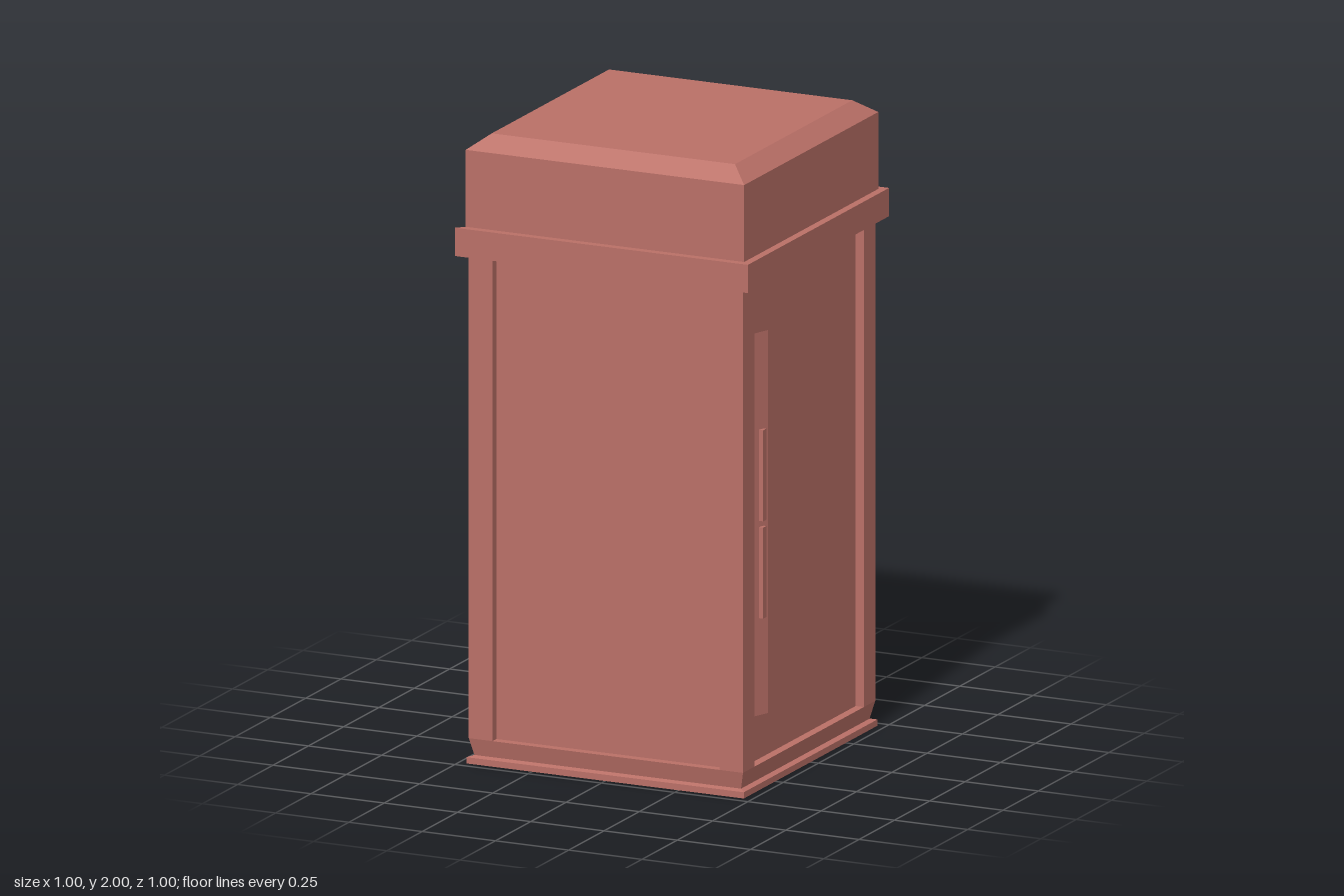
import * as THREE from 'three';

const material = new THREE.MeshStandardMaterial({ color: 0xba7067, flatShading: true, side: THREE.DoubleSide });

function add(parent, name, geometry, x = 0, y = 0, z = 0) {
  const mesh = new THREE.Mesh(geometry, material);
  mesh.name = name;
  mesh.position.set(x, y, z);
  parent.add(mesh);
  return mesh;
}

function surface(pos) {
  const g = new THREE.BufferGeometry();
  g.setAttribute('position', new THREE.Float32BufferAttribute(pos, 3));
  g.computeVertexNormals();
  return g;
}

// One mitred side of a square moulding; profile runs top to bottom as [offset, y]
function mitredSide(profile) {
  const pos = [];
  for (let i = 0; i < profile.length - 1; i++) {
    const [a, ya] = profile[i];
    const [b, yb] = profile[i + 1];
    pos.push(-a, ya, a, -b, yb, b, b, yb, b);
    pos.push(-a, ya, a, b, yb, b, a, ya, a);
  }
  return surface(pos);
}

// Upright folded sheet following a plan path of [x, z] points
function foldedSheet(path, y0, y1) {
  const pos = [];
  for (let i = 0; i < path.length - 1; i++) {
    const [ax, az] = path[i];
    const [bx, bz] = path[i + 1];
    pos.push(ax, y0, az, bx, y0, bz, bx, y1, bz);
    pos.push(ax, y0, az, bx, y1, bz, ax, y1, az);
  }
  return surface(pos);
}

export function createModel() {
  const model = new THREE.Group();
  model.name = 'booth';
  const low = 0.08, high = 1.62;

  // Roof cap with cornice, walls and flared base: front, right and back; the other side is open
  const capProfile = [[0.415, 2], [0.475, 1.955], [0.475, 1.71], [0.5, 1.71], [0.5, 1.62]];
  const baseProfile = [[0.44, low], [0.468, low], [0.455, 0.025], [0.473, 0.02], [0.473, 0]];
  const wallPath = [[-0.468, 0.468], [-0.387, 0.468], [-0.387, 0.44], [0.387, 0.44], [0.387, 0.468], [0.468, 0.468]];
  for (const angle of [0, Math.PI / 2, Math.PI]) {
    add(model, 'roofSide', mitredSide(capProfile)).rotation.y = angle;
    add(model, 'wall', foldedSheet(wallPath, low, high)).rotation.y = angle;
    add(model, 'baseSide', mitredSide(baseProfile)).rotation.y = angle;
  }
  const flat = (w, d) => new THREE.PlaneGeometry(w, d).rotateX(-Math.PI / 2);
  add(model, 'roofTop', flat(0.83, 0.83), 0, 2, 0);
  add(model, 'floor', flat(0.91, 0.91), 0, 0.05, 0);

  // Open side: jamb strips and ribbed panel
  for (const z of [-0.387, 0.387]) {
    add(model, 'jamb', foldedSheet([[-0.468, z], [-0.438, z]], low, high));
  }
  add(model, 'ribbedPanel', foldedSheet([[-0.438, -0.44], [-0.438, 0.44]], 0.05, high));
  for (let i = 1; i < 7; i++) {
    add(model, 'panelRib', new THREE.BoxGeometry(0.014, 0.01, 0.88), -0.445, 0.08 + i * 0.235, 0);
  }

  // Slanted door plate, rising away from the post
  add(model, 'doorPlate', foldedSheet([[0.468, 0.387], [0.488, 0.333]], 0.24, 1.46));

  // Two slim handles
  for (const y of [0.695, 1.005]) {
    add(model, 'doorHandle', new THREE.BoxGeometry(0.014, 0.29, 0.022), 0.483, y, 0.36);
  }

  return model;
}
